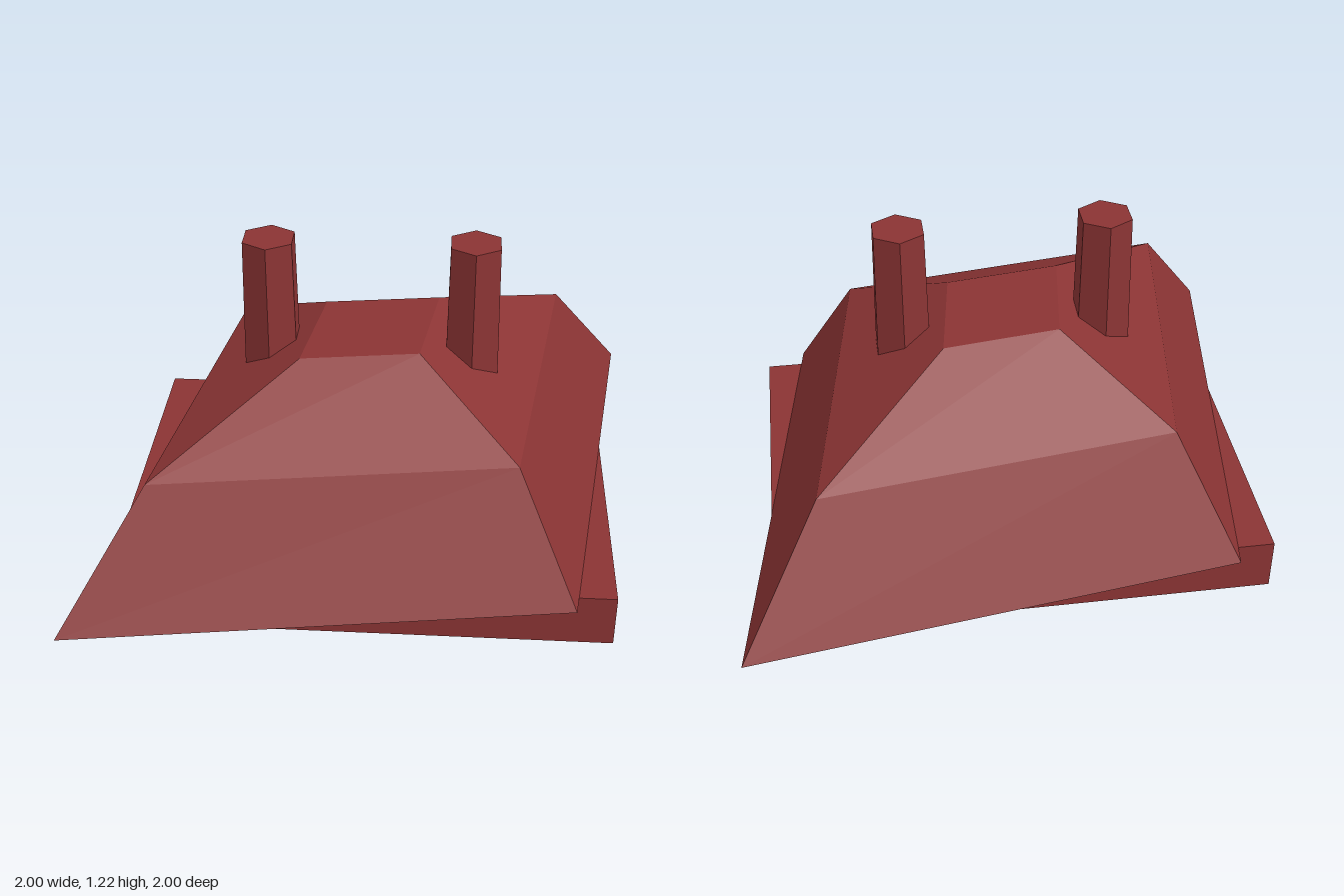
import * as THREE from 'three';

// Flat-shaded solid from stacked four-cornered rings, listed bottom to top
function stackRings(corners, levels) {
  const rings = levels.map(([y, s]) => corners.map(([x, z]) => [x * s, y, z * s]));
  const pos = [];
  const quad = (a, b, c, d) => pos.push(...a, ...b, ...c, ...a, ...c, ...d);
  for (let r = 0; r < rings.length - 1; r++) {
    const low = rings[r], high = rings[r + 1];
    for (let i = 0; i < 4; i++) {
      const j = (i + 1) % 4;
      quad(low[i], low[j], high[j], high[i]);
    }
  }
  const bottom = rings[0], top = rings[rings.length - 1];
  quad(...top);
  quad(...[...bottom].reverse());
  const geometry = new THREE.BufferGeometry();
  geometry.setAttribute('position', new THREE.Float32BufferAttribute(pos, 3));
  geometry.computeVertexNormals();
  return geometry;
}

export function createModel() {
  const model = new THREE.Group();
  model.name = 'roof';
  const brickRed = new THREE.MeshStandardMaterial({ color: 0x8b3434, flatShading: true });
  brickRed.name = 'brickRed';

  const add = (name, geometry, x, y) => {
    const mesh = new THREE.Mesh(geometry, brickRed);
    mesh.name = name;
    mesh.position.set(x, y, 0);
    model.add(mesh);
  };

  // Rectangular slab under the roof
  add('baseSlab', new THREE.BoxGeometry(1.79, 0.2, 1.345), 0, 0.1);

  // Skewed roof with a steep lower slope, a shallow upper slope and a flat top
  const eaves = [[-0.75, -0.75], [-1, 1], [0.75, 0.75], [1, -1]];
  add('skewedRoof', stackRings(eaves, [[0.2, 1], [0.645, 0.714], [0.87, 0.24]]), 0, 0);

  // Pair of tapered six-sided chimneys sunk into the slopes
  for (const [name, side] of [['leftChimney', 1], ['rightChimney', -1]]) {
    add(name, new THREE.CylinderGeometry(0.101, 0.112, 0.62, 6), side * 0.366, 0.91);
  }

  return model;
}
